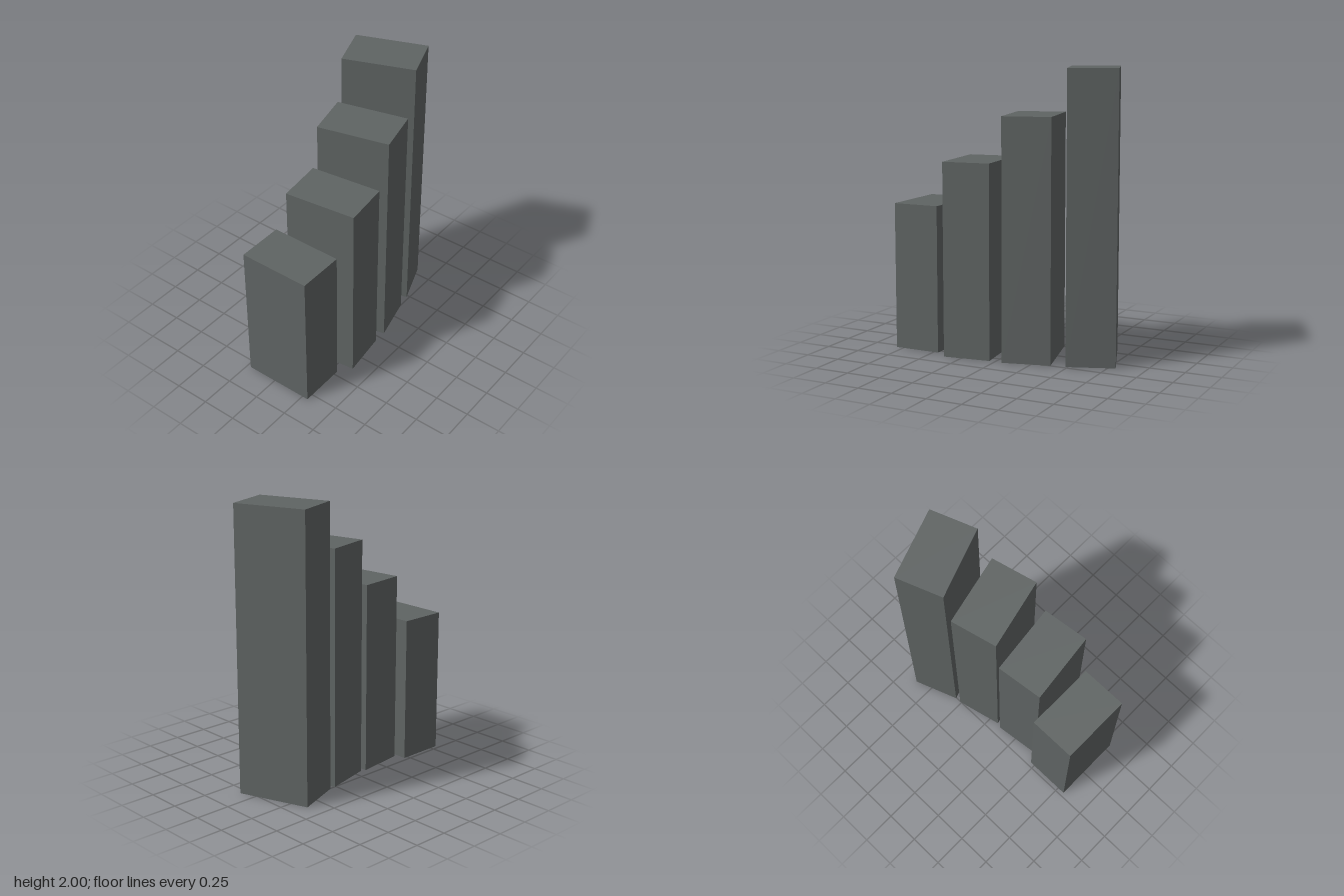
import * as THREE from 'three';

export function createModel() {
  const model = new THREE.Group();
  model.name = 'steppedPillars';
  const darkGrey = new THREE.MeshStandardMaterial({ color: 0x5f6463 });
  darkGrey.name = 'dark grey';

  // Four blocks on a curve, each taller and turned further than the last
  const centres = [[-0.635, 0.037], [-0.24, 0.09], [0.157, 0.038], [0.553, -0.07]];
  const turnStep = THREE.MathUtils.degToRad(6.75);
  centres.forEach(([x, z], i) => {
    const height = 1.04 + i * 0.32;
    const pillar = new THREE.Mesh(new THREE.BoxGeometry(0.338, height, 0.517), darkGrey);
    pillar.name = `pillar${i + 1}`;
    pillar.position.set(x, height / 2, z);
    pillar.rotation.y = i * turnStep;
    model.add(pillar);
  });
  return model;
}
